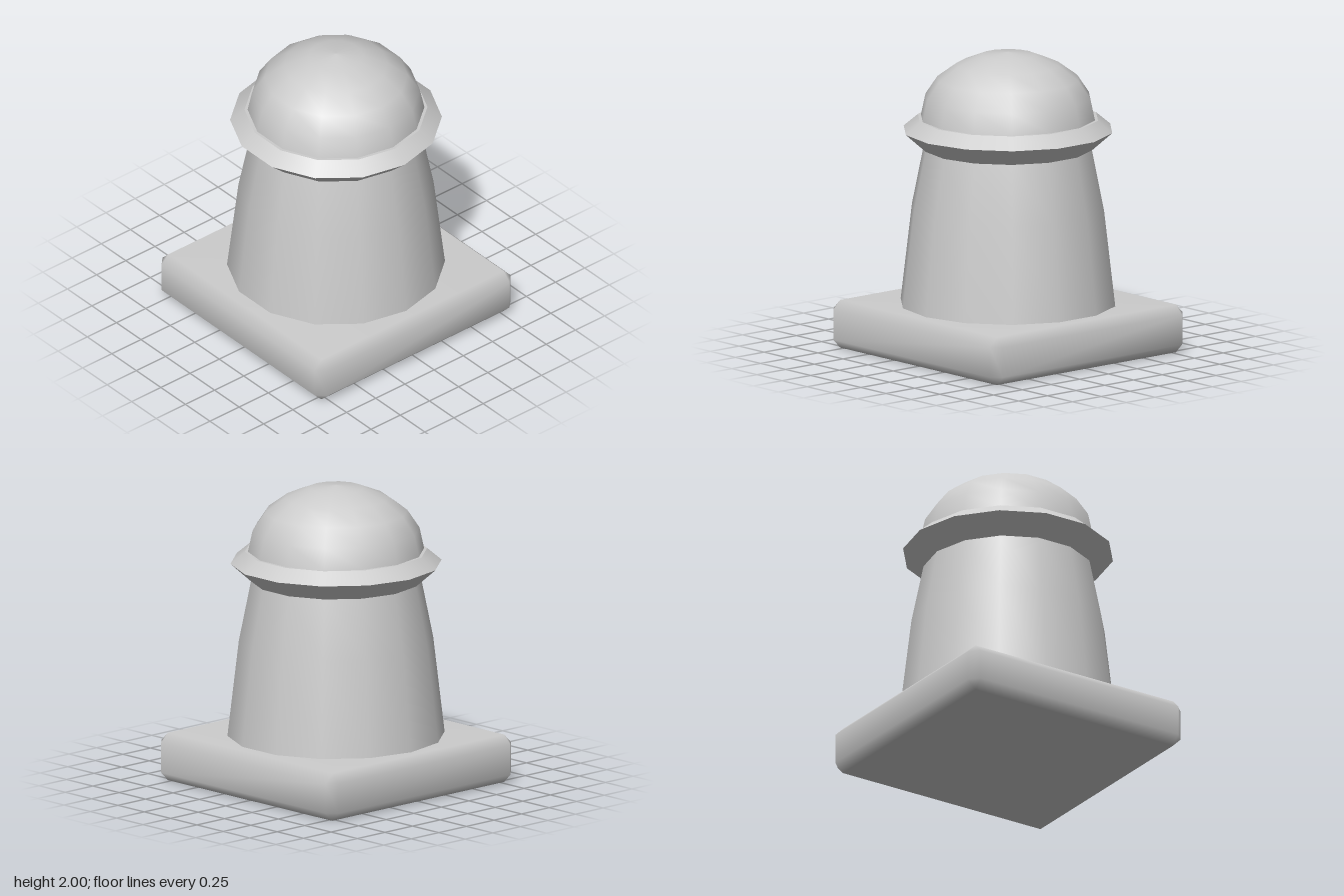
import * as THREE from 'three';
import { mergeVertices } from 'three/addons/utils/BufferGeometryUtils.js';
import { ConvexGeometry } from 'three/addons/geometries/ConvexGeometry.js';

const SIDES = 14;

// Box with a single-step chamfer on every edge, softly shaded
function chamferedBox(hx, hy, hz, b) {
  const points = [];
  for (const sx of [-1, 1]) for (const sy of [-1, 1]) for (const sz of [-1, 1]) {
    points.push(
      new THREE.Vector3(sx * hx, sy * (hy - b), sz * (hz - b)),
      new THREE.Vector3(sx * (hx - b), sy * hy, sz * (hz - b)),
      new THREE.Vector3(sx * (hx - b), sy * (hy - b), sz * hz)
    );
  }
  const hull = new ConvexGeometry(points);
  hull.deleteAttribute('normal');
  const geometry = mergeVertices(hull);
  geometry.computeVertexNormals();
  return geometry;
}

export function createModel() {
  const group = new THREE.Group();
  const stone = new THREE.MeshStandardMaterial({ color: 0xcccccc });
  stone.name = 'stone';

  const add = (name, geometry) => {
    const mesh = new THREE.Mesh(geometry, stone);
    mesh.name = name;
    group.add(mesh);
    return mesh;
  };
  // Turned part from [radius, height] pairs, with a corner on the x axis
  const turn = (name, profile) => add(name, new THREE.LatheGeometry(
    profile.map(([r, y]) => new THREE.Vector2(r, y)), SIDES, Math.PI / 2));

  // Square foot
  add('base', chamferedBox(0.84, 0.16, 0.84, 0.06)).position.y = 0.16;

  // Tapering column
  turn('column', [[0.715, 0.32], [0.64, 0.96], [0.56, 1.36]]);

  // Sharp-edged collar
  turn('collarUnderside', [[0.56, 1.36], [0.695, 1.48]]);
  turn('collarTop', [[0.695, 1.48], [0.6, 1.56]]);
  turn('collarLedge', [[0.6, 1.56], [0.57, 1.56]]);

  // Rounded cap
  turn('dome', [[0.58, 1.56], [0.55, 1.7], [0.47, 1.82], [0.34, 1.915], [0.18, 1.98], [0, 2]]);

  return group;
}
